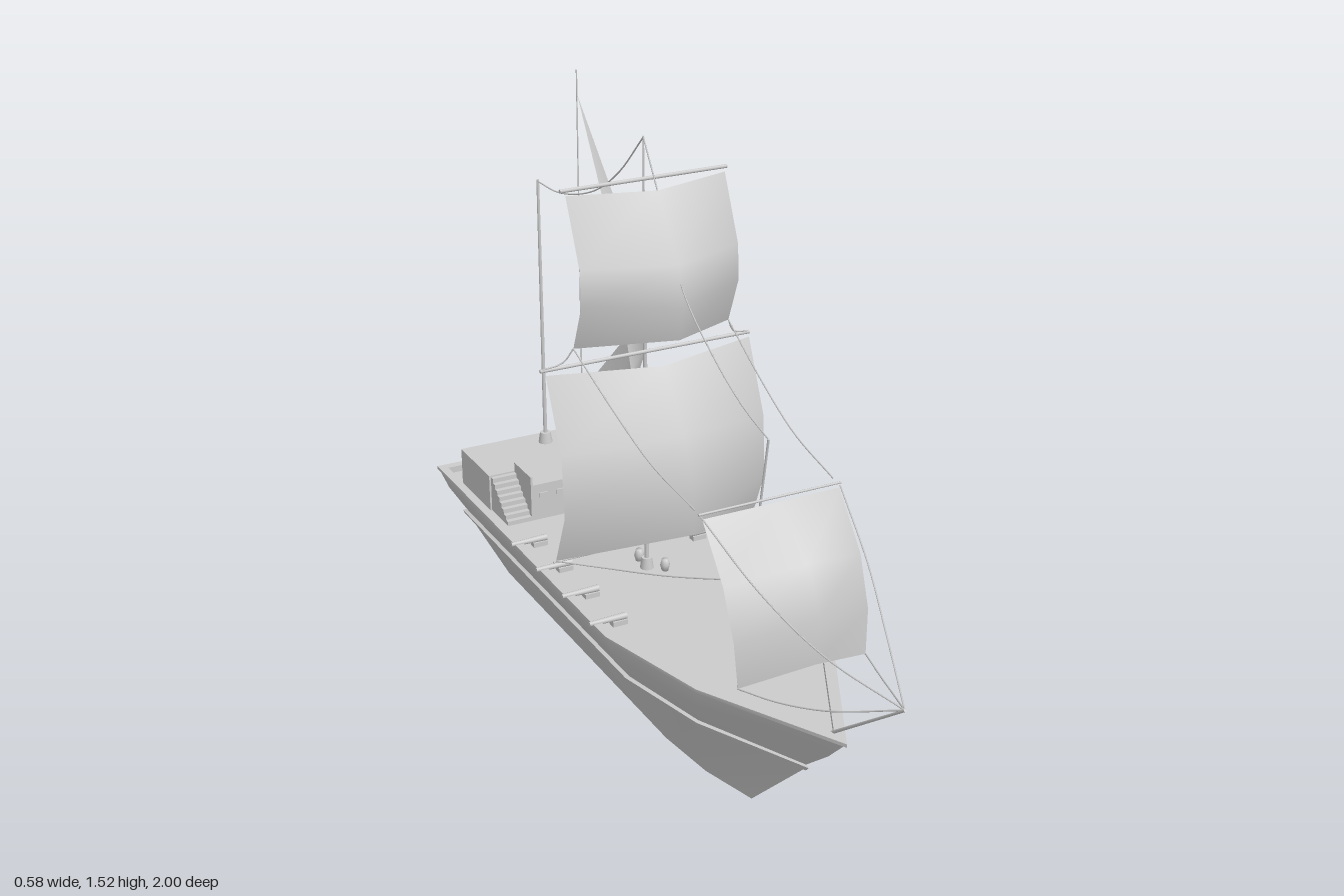
import * as THREE from 'three';
import { toCreasedNormals } from 'three/addons/utils/BufferGeometryUtils.js';

const grey = new THREE.MeshStandardMaterial({ color: 0xcccccc });
const cloth = new THREE.MeshStandardMaterial({ color: 0xcccccc, side: THREE.DoubleSide });
const V = (x, y, z) => new THREE.Vector3(x, y, z);

export function createModel() {
  const ship = new THREE.Group();

  const add = (name, geo, x = 0, y = 0, z = 0, mat = grey) => {
    const m = new THREE.Mesh(geo, mat);
    m.name = name;
    m.position.set(x, y, z);
    ship.add(m);
    return m;
  };
  const box = (name, w, h, d, x, y, z) => add(name, new THREE.BoxGeometry(w, h, d), x, y, z);

  // Straight tapered round bar between two points
  const spar = (name, a, b, r0, r1 = r0) => {
    const m = add(name, new THREE.CylinderGeometry(r1, r0, a.distanceTo(b), 8));
    m.position.copy(a).add(b).multiplyScalar(0.5);
    m.quaternion.setFromUnitVectors(V(0, 1, 0), b.clone().sub(a).normalize());
  };
  // Sagging line through points
  const rope = (name, pts, r = 0.002) =>
    add(name, new THREE.TubeGeometry(new THREE.CatmullRomCurve3(pts), 20, r, 5));

  // Hull: plan outlines lofted upward, over the rail and down to the deck
  // [y, half width, shoulder z, cheek z, bow z, stern z]
  const levels = [
    [0, 0.06, 0.02, 0.2, 0.36, -1],
    [0.225, 0.181, 0.06, 0.32, 0.6, -1],
    [0.227, 0.19, 0.06, 0.325, 0.61, -1],
    [0.24, 0.196, 0.065, 0.33, 0.622, -1],
    [0.243, 0.186, 0.065, 0.325, 0.61, -0.993],
    [0.32, 0.234, 0.085, 0.38, 0.705, -1],
    [0.385, 0.262, 0.1, 0.415, 0.77, -1],
    [0.385, 0.266, 0.1, 0.42, 0.78, -1],
    [0.394, 0.266, 0.1, 0.42, 0.78, -1],
    [0.394, 0.243, 0.09, 0.39, 0.725, -0.975],
    [0.376, 0.243, 0.09, 0.39, 0.725, -0.975],
  ];
  const pos = [], idx = [], n = 7;
  for (const [y, w, z1, z2, zb, zs] of levels) {
    const half = [[w, zs], [w, z1], [w * 0.7, z2]];
    const ring = [...half, [0, zb], ...half.map(([x, z]) => [-x, z]).reverse()];
    for (const [x, z] of ring) pos.push(x, y, z);
  }
  for (let i = 0; i < levels.length - 1; i++) {
    for (let j = 0; j < n; j++) {
      const a = i * n + j, b = i * n + (j + 1) % n;
      idx.push(a, a + n, b, b, a + n, b + n);
    }
  }
  const top = (levels.length - 1) * n, centre = levels.length * n;
  pos.push(0, 0, -0.3, 0, 0.376, -0.3);
  for (let j = 0; j < n; j++) {
    const k = (j + 1) % n;
    idx.push(centre, j, k, centre + 1, top + k, top + j);
  }
  const hull = new THREE.BufferGeometry();
  hull.setAttribute('position', new THREE.Float32BufferAttribute(pos, 3));
  hull.setIndex(idx);
  add('hull', toCreasedNormals(hull, 0.55));

  // Aft cabin with stairs let into its front corners
  box('cabin', 0.46, 0.106, 0.2, 0, 0.427, -0.8);
  box('cabinFront', 0.3, 0.106, 0.11, 0, 0.427, -0.645);
  for (const s of [-1, 1]) {
    box('stairWall', 0.006, 0.13, 0.11, s * 0.152, 0.44, -0.645);
    for (let i = 0; i < 8; i++) {
      const h = 0.0125 * (i + 1);
      box('stairStep', 0.07, h, 0.014, s * 0.19, 0.376 + h / 2, -0.597 - i * 0.0137);
    }
    for (const x of [0.07, 0.12]) box('cabinWindow', 0.024, 0.014, 0.006, s * x, 0.448, -0.589);
  }
  box('cabinDoor', 0.04, 0.07, 0.006, 0, 0.411, -0.589);

  // Guns along both rails
  for (const s of [-1, 1]) for (const z of [0.03, -0.13, -0.29, -0.45]) {
    spar('gun', V(s * 0.175, 0.395, z), V(s * 0.275, 0.395, z), 0.009, 0.006);
    box('gunCarriage', 0.04, 0.014, 0.022, s * 0.195, 0.382, z);
  }

  // Barrels on deck
  for (const [x, z] of [[0, -0.575], [0.045, -0.57], [0, -0.55], [0, -0.25], [0.035, -0.17]]) {
    const profile = [[0, 0], [0.009, 0], [0.013, 0.016], [0.009, 0.032], [0, 0.032]];
    add('barrel', new THREE.LatheGeometry(profile.map(p => new THREE.Vector2(...p)), 10), x, 0.376, z);
  }

  // Masts, yards and bowsprit
  spar('mainMast', V(0, 0.376, -0.205), V(0, 1.28, -0.205), 0.006, 0.005);
  spar('mainTopmast', V(0, 1.28, -0.205), V(0, 1.525, -0.205), 0.003, 0.002);
  spar('foreMast', V(0, 0.376, 0.3), V(0, 0.985, 0.41), 0.003);
  spar('mizzenMast', V(0, 0.47, -0.838), V(0, 1.245, -0.838), 0.006, 0.004);
  spar('bowsprit', V(0, 0.385, 0.71), V(0, 0.6, 0.997), 0.004, 0.003);
  for (const [y, z, r] of [[0.376, -0.205, 0.018], [0.376, 0.3, 0.012], [0.48, -0.838, 0.02]]) {
    add('mastCollar', new THREE.CylinderGeometry(r * 0.75, r, 0.03, 12), 0, y + 0.015, z);
  }
  spar('mainYard', V(-0.288, 0.982, -0.195), V(0.288, 0.982, -0.195), 0.005);
  spar('topYard', V(-0.222, 1.422, -0.2), V(0.222, 1.422, -0.2), 0.005);
  spar('foreYard', V(-0.185, 0.845, 0.425), V(0.185, 0.845, 0.425), 0.003);
  spar('courseFootRope', V(-0.285, 0.482, -0.155), V(0.285, 0.482, -0.155), 0.0025);

  // Sail surface from rows of three points, smooth shaded
  const sail = (name, rows) => {
    const p = [], f = [];
    rows.forEach((row, i) => {
      row.forEach(v => p.push(v.x, v.y, v.z));
      if (i) for (let j = 0; j < 2; j++) {
        const a = (i - 1) * 3 + j, b = a + 3;
        f.push(a, b, a + 1, a + 1, b, b + 1);
      }
    });
    const g = new THREE.BufferGeometry();
    g.setAttribute('position', new THREE.Float32BufferAttribute(p, 3));
    g.setIndex(f);
    g.computeVertexNormals();
    add(name, g, 0, 0, 0, cloth);
  };
  // Square sails: each row is [half width, edge y, edge z, middle y, middle z]
  const squareSail = (name, rows) => sail(name, rows.map(([w, y, z, my, mz]) =>
    [V(-w, y, z), V(0, my, mz), V(w, y, z)]));

  squareSail('mainCourse', [
    [0.28, 0.975, -0.18, 0.975, -0.105], [0.28, 0.79, -0.1, 0.83, 0.01],
    [0.28, 0.63, -0.09, 0.69, 0.055], [0.28, 0.487, -0.15, 0.585, 0.052]]);
  squareSail('topSail', [
    [0.212, 1.412, -0.19, 1.412, -0.13], [0.212, 1.25, -0.12, 1.26, -0.02],
    [0.212, 1.16, -0.115, 1.16, 0], [0.212, 1.038, -0.165, 1.072, -0.02]]);
  squareSail('foreSail', [
    [0.178, 0.835, 0.43, 0.85, 0.457], [0.178, 0.71, 0.53, 0.76, 0.6],
    [0.175, 0.59, 0.575, 0.65, 0.65], [0.168, 0.478, 0.583, 0.525, 0.64]]);

  // Three-cornered aft sail, bellied to the ship's left
  const luff = [V(0.165, 1.43, -0.933), V(0.175, 1.09, -0.756), V(0.15, 0.756, -0.592), V(-0.03, 0.525, -0.405)];
  const leech = [V(0.166, 1.43, -0.935), V(0.24, 1.1, -0.86), V(0.278, 0.777, -0.832), V(0.165, 0.563, -0.944)];
  const belly = [0, 0.03, 0.045, 0.05];
  sail('aftSail', luff.map((a, i) =>
    [a, a.clone().lerp(leech[i], 0.5).add(V(belly[i], 0, 0)), leech[i]]));
  spar('aftSailPole', V(0.165, 0.555, -0.946), V(0.165, 1.5, -0.936), 0.002);
  spar('aftBoom', V(-0.03, 0.525, -0.405), V(0.165, 0.558, -0.946), 0.003);

  // Stays on the centre line
  rope('foreStay', [V(0, 0.985, 0.41), V(0, 1.02, 0.29), V(0, 1.09, 0.15), V(0, 1.2, 0),
    V(0, 1.4, -0.125), V(0, 1.522, -0.205)]);
  rope('aftStay', [V(0, 1.522, -0.205), V(0, 1.4, -0.34), V(0, 1.31, -0.49),
    V(0, 1.247, -0.7), V(0, 1.24, -0.838)]);

  // Paired lines to the sail corners
  for (const s of [-1, 1]) {
    rope('foreHeadBrace', [V(0, 0.6, 0.995), V(s * 0.08, 0.65, 0.8), V(s * 0.14, 0.735, 0.62), V(s * 0.18, 0.84, 0.43)]);
    rope('foreFootSheet', [V(0, 0.6, 0.995), V(s * 0.08, 0.53, 0.83), V(s * 0.13, 0.495, 0.7), V(s * 0.168, 0.478, 0.583)]);
    rope('foreFootBrace', [V(s * 0.168, 0.478, 0.583), V(s * 0.08, 0.525, 0.45), V(0, 0.594, 0.338)]);
    rope('courseSheet', [V(0, 0.594, 0.338), V(s * 0.11, 0.535, 0.13), V(s * 0.2, 0.5, -0.04), V(s * 0.28, 0.487, -0.15)]);
    rope('topSailBrace', [V(s * 0.18, 0.845, 0.4), V(s * 0.19, 0.88, 0.2), V(s * 0.2, 0.95, 0.02), V(s * 0.212, 1.038, -0.165)]);
    rope('topSailSheet', [V(s * 0.212, 1.038, -0.165), V(s * 0.235, 1.0, -0.18), V(s * 0.288, 0.984, -0.195)]);
  }
  return ship;
}
